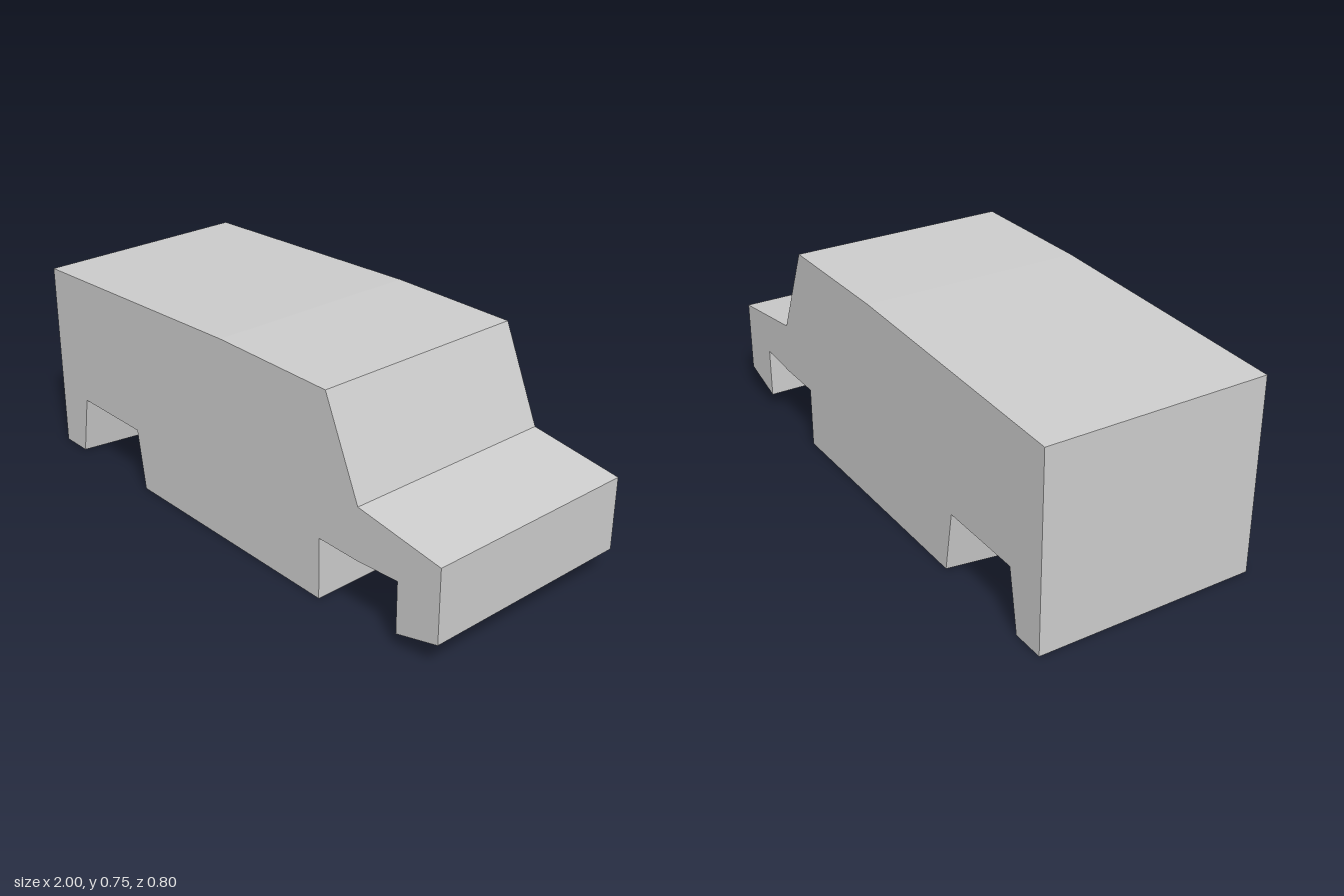
import * as THREE from 'three';

const W = 0.402; // half width of the body

const paint = new THREE.MeshStandardMaterial({ color: 0xcccccc, flatShading: true, side: THREE.DoubleSide });
paint.name = 'light grey paint';

// Upper silhouette from the tail foot, over the roof, down to the nose and chin
const upper = [[-1, 0], [-1, 0.707], [0, 0.748], [0.505, 0.748], [0.652, 0.414], [1, 0.366], [1, 0.1]];
const bandNames = ['tailPanel', 'rearRoof', 'frontRoof', 'windshield', 'hood', 'nosePanel'];

// Wheel arches: opening in the side, and the matching edge of the inner wall
const arches = [
  {
    name: 'rearArch',
    outer: [[-0.88, 0], [-0.84, 0.225], [-0.51, 0.225], [-0.475, 0]],
    inner: [[-0.84, 0], [-0.84, 0.19], [-0.51, 0.19], [-0.51, 0]],
    wall: [[0, 1, 2, 3]],
  },
  {
    name: 'frontArch',
    outer: [[0.477, 0], [0.477, 0.225], [0.652, 0.225], [0.827, 0.237], [0.827, 0.05]],
    inner: [[0.477, 0], [0.477, 0.181], [0.652, 0.181], [0.827, 0.212], [0.827, 0.05], [0.652, 0]],
    wall: [[0, 1, 2, 5], [5, 2, 3, 4]],
  },
];

// Depth of the inner wall: it leans outward towards the arch ceiling
const wallZ = (side, y) => (side > 0 ? (y > 0.1 ? 0.23 : 0.14) : (y > 0.1 ? -0.24 : -0.168));

const underY = (x) => Math.max(0, (x - 0.652) * 0.1 / 0.348);

// Mesh made of separate quads with counter-clockwise corners
function quads(name, list) {
  const g = new THREE.BufferGeometry();
  const p = list.flatMap(([a, b, c, d]) => [a, b, c, a, c, d]).flat();
  g.setAttribute('position', new THREE.Float32BufferAttribute(p, 3));
  g.computeVertexNormals();
  return named(name, g);
}

function named(name, geometry) {
  const mesh = new THREE.Mesh(geometry, paint);
  mesh.name = name;
  return mesh;
}

// Flat outline placed in space by a rule; flip reverses the facing
function panel(name, outline, place, flip) {
  const g = new THREE.ShapeGeometry(new THREE.Shape(outline.map(([a, b]) => new THREE.Vector2(a, b))));
  const pos = g.attributes.position;
  for (let i = 0; i < pos.count; i++) pos.setXYZ(i, ...place(pos.getX(i), pos.getY(i)));
  if (flip) g.setIndex(Array.from(g.index.array).reverse());
  g.computeVertexNormals();
  return named(name, g);
}

export function createModel() {
  const van = new THREE.Group();
  van.name = 'vanBody';

  // Panels running across the body
  bandNames.forEach((name, i) => {
    const [a, b] = [upper[i], upper[i + 1]];
    van.add(quads(name, [[[...a, -W], [...a, W], [...b, W], [...b, -W]]]));
  });

  // Side panels with arch openings, and the arch pockets behind them
  const outline = [...upper].reverse().concat(arches[0].outer, arches[1].outer.slice(0, 5));
  for (const s of [1, -1]) {
    const label = s > 0 ? 'front' : 'back';
    van.add(panel(label + 'SidePanel', outline, (x, y) => [x, y, s * W], s < 0));
    for (const { name, outer, inner, wall } of arches) {
      const out = outer.map(([x, y]) => [x, y, s * W]);
      const inn = inner.map(([x, y]) => [x, y, wallZ(s, y)]);
      const faces = wall.map((ids) => ids.map((k) => inn[k]).reverse());
      for (let i = 0; i < out.length - 1; i++) faces.push([inn[i], inn[i + 1], out[i + 1], out[i]]);
      if (s < 0) faces.forEach((f) => f.reverse());
      van.add(quads(label + '_' + name, faces));
    }
  }

  // Underside: flat floor, then the ramp rising to the chin, both notched by the arches
  const floorEdge = (s) => [[-1, s * W], [-0.88, s * W], [-0.84, wallZ(s, 0)], [-0.51, wallZ(s, 0)],
    [-0.475, s * W], [0.477, s * W], [0.477, wallZ(s, 0)], [0.652, wallZ(s, 0)]];
  const rampEdge = (s) => [[0.652, wallZ(s, 0)], [0.827, wallZ(s, 0)], [0.827, s * W], [1, s * W]];
  for (const [name, edge] of [['floor', floorEdge], ['chinRamp', rampEdge]]) {
    van.add(panel(name, [...edge(-1), ...edge(1).reverse()], (x, z) => [x, underY(x), z], false));
  }
  return van;
}
